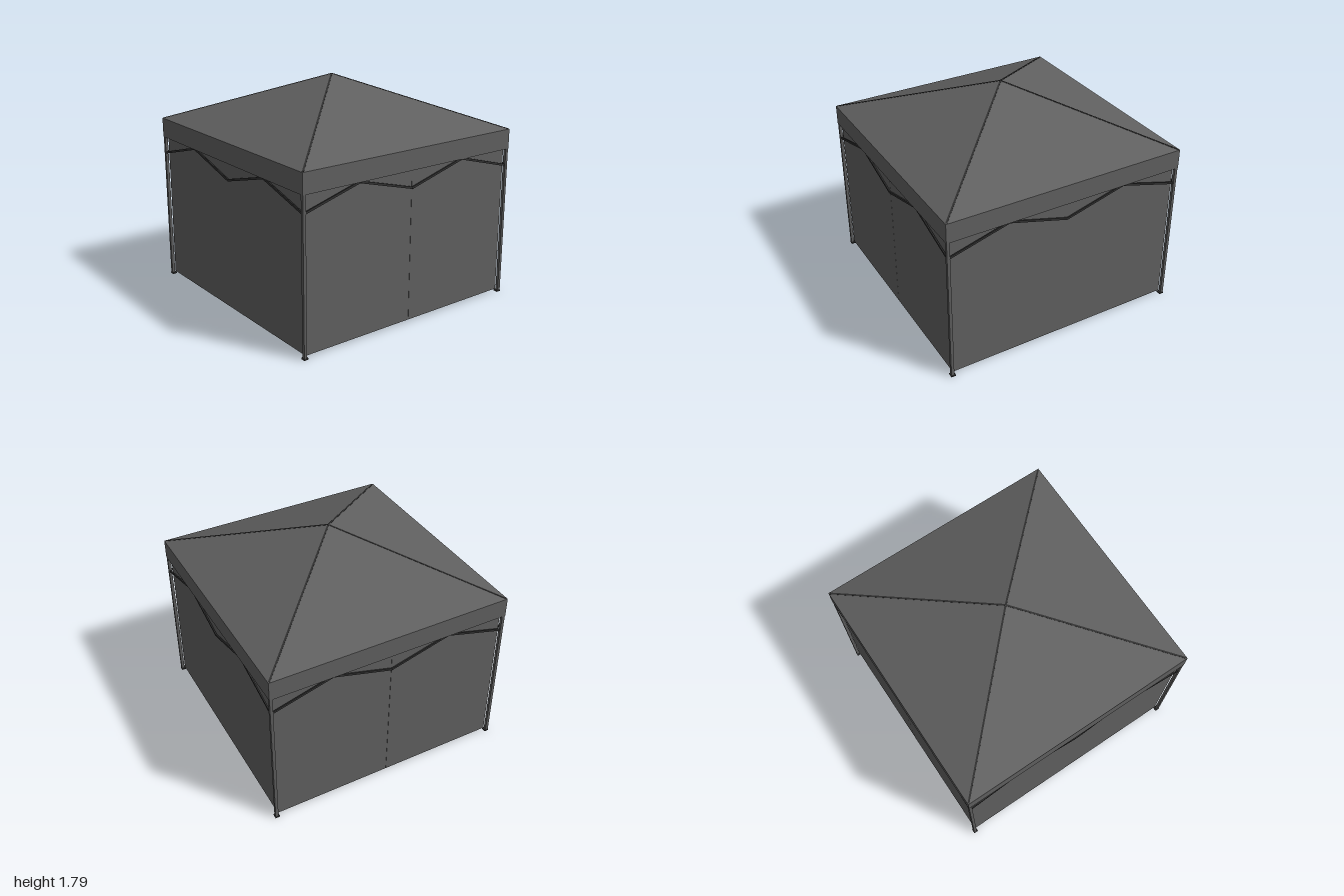
import * as THREE from 'three';

const HALF = 1, EAVE = 1.385, SKIRT = 1.225, PEAK = 1.795;

export function createModel() {
  const tent = new THREE.Group();
  tent.name = 'canopyTent';

  const cloth = new THREE.MeshStandardMaterial({ color: 0x606060, side: THREE.DoubleSide });
  cloth.name = 'grey cloth';
  const legMetal = new THREE.MeshStandardMaterial({ color: 0x5c5c5c });
  legMetal.name = 'grey leg metal';
  const darkMetal = new THREE.MeshStandardMaterial({ color: 0x303030 });
  darkMetal.name = 'dark frame metal';

  const add = (parent, name, geometry, material, x = 0, y = 0, z = 0) => {
    const mesh = new THREE.Mesh(geometry, material);
    mesh.name = name;
    mesh.position.set(x, y, z);
    parent.add(mesh);
    return mesh;
  };

  // Straight bar running between two points, in the parent's own frame
  const up = new THREE.Vector3(0, 1, 0);
  const bar = (parent, name, a, b, height, width) => {
    const from = new THREE.Vector3(...a), to = new THREE.Vector3(...b);
    const mesh = add(parent, name, new THREE.BoxGeometry(width, height, from.distanceTo(to)), darkMetal);
    mesh.position.copy(from).lerp(to, 0.5);
    mesh.quaternion.setFromRotationMatrix(new THREE.Matrix4().lookAt(to, from, up));
  };

  // One roof slope, facing +z
  const slope = new THREE.BufferGeometry();
  slope.setAttribute('position', new THREE.Float32BufferAttribute(
    [-HALF, EAVE, HALF, HALF, EAVE, HALF, 0, PEAK, 0], 3));
  slope.computeVertexNormals();

  // Each side repeats around the tent; front and back have a hairline door slit
  ['front', 'left', 'back', 'right'].forEach((label, i) => {
    const side = new THREE.Group();
    side.name = label + 'Side';
    side.rotation.y = i * Math.PI / 2;
    tent.add(side);

    add(side, 'roofSlope', slope, cloth);
    add(side, 'valance', new THREE.PlaneGeometry(2 * HALF, EAVE - SKIRT), cloth,
      0, (EAVE + SKIRT) / 2, HALF);

    const doorSide = i % 2 === 0;
    const gap = doorSide ? 0.001 : 0;
    const width = 0.968 - gap;
    for (const s of [-1, 1]) {
      add(side, 'wallPanel', new THREE.BoxGeometry(width, 1.36, 0.006), cloth,
        s * (gap + width / 2), 0.7, doorSide ? 0.971 : 0.966);
      // Crossed truss bars of the folding frame
      bar(side, 'trussBarRising', [s * 0.975, 1.092, 0.988], [0, 1.365, 0.988], 0.017, 0.01);
      bar(side, 'trussBarFalling', [s * 0.975, 1.355, 0.981], [0, 1.085, 0.981], 0.017, 0.01);
    }
  });

  // Corner legs with foot plates, and rafters along the roof hips
  for (const x of [-1, 1]) {
    for (const z of [-1, 1]) {
      add(tent, 'leg', new THREE.BoxGeometry(0.024, 1.37, 0.024), legMetal, x * 0.986, 0.69, z * 0.986);
      add(tent, 'foot', new THREE.BoxGeometry(0.037, 0.012, 0.037), darkMetal, x * 0.9815, 0.006, z * 0.9815);
      bar(tent, 'hipRafter', [x * 0.99, 1.3787, z * 0.99], [0, 1.7846, 0], 0.02, 0.014);
    }
  }

  return tent;
}
